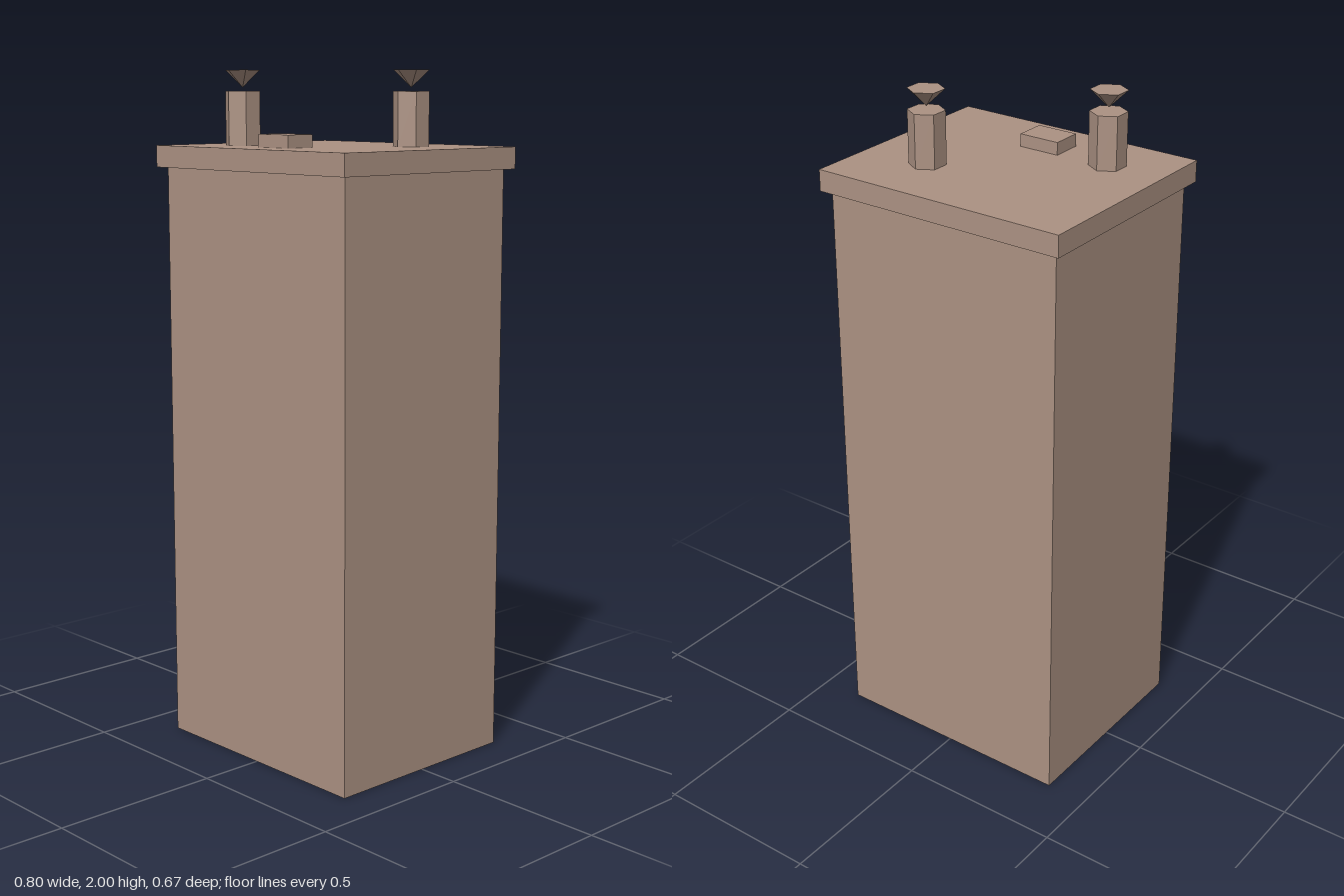
import * as THREE from 'three';

export function createModel() {
  const model = new THREE.Group();
  const clay = new THREE.MeshStandardMaterial({ color: 0xac9283, flatShading: true });
  clay.name = 'clay brown';

  function add(name, geometry, x, y, z, parent = model) {
    const mesh = new THREE.Mesh(geometry, clay);
    mesh.name = name;
    mesh.position.set(x, y, z);
    parent.add(mesh);
    return mesh;
  }

  // A box given by its bottom and top heights
  function block(name, width, depth, bottom, top, x = 0, z = 0) {
    add(name, new THREE.BoxGeometry(width, top - bottom, depth), x, (bottom + top) / 2, z);
  }

  // Chimney stack, overhanging cap and small block on top
  block('stack', 0.75, 0.622, 0, 1.722);
  block('cap', 0.795, 0.67, 1.722, 1.785);
  block('capBlock', 0.126, 0.092, 1.785, 1.822, 0, 0.186);

  // Hexagonal pots, each with an inverted cone cowl just above it
  const radius = 0.053;
  const potGeometry = new THREE.CylinderGeometry(radius, radius, 0.155, 6);
  const cowlGeometry = new THREE.CylinderGeometry(radius, 0, 0.05, 6);
  for (const [side, x, z] of [['right', -0.22, 0.155], ['left', 0.186, -0.126]]) {
    const pot = new THREE.Group();
    pot.name = side + 'ChimneyPot';
    pot.position.set(x, 1.785, z);
    add(side + 'Pot', potGeometry, 0, 0.0775, 0, pot);
    add(side + 'Cowl', cowlGeometry, 0, 0.19, 0, pot);
    model.add(pot);
  }

  return model;
}
